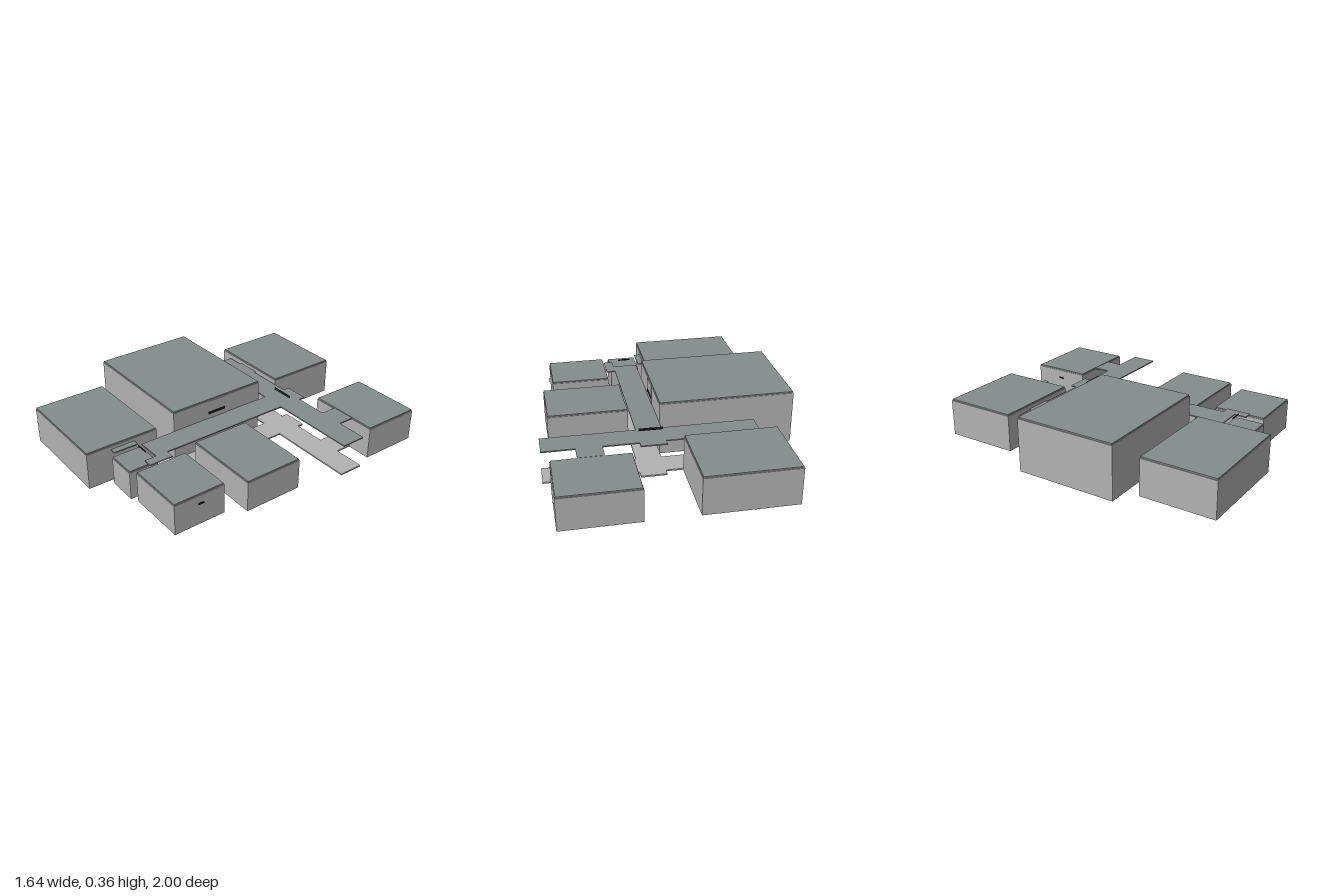
import * as THREE from 'three';

export function createModel() {
  const site = new THREE.Group();
  site.name = 'buildingComplex';

  const mat = (name, color) => {
    const m = new THREE.MeshStandardMaterial({ color });
    m.name = name;
    return m;
  };
  const wall = mat('wallGrey', 0xb2b2b2);
  const roof = mat('roofGreyGreen', 0x848d8b);
  const dark = mat('signBlack', 0x16181c);

  // Box given by its limits on each axis
  function block(name, material, [x0, x1], [y0, y1], [z0, z1], parent = site) {
    const mesh = new THREE.Mesh(new THREE.BoxGeometry(x1 - x0, y1 - y0, z1 - z0), material);
    mesh.position.set((x0 + x1) / 2, (y0 + y1) / 2, (z0 + z1) / 2);
    mesh.name = name;
    parent.add(mesh);
  }

  // Buildings: walls with a slightly inset roof slab
  const buildings = [
    ['mainHall', [-0.82, 0.058], [-0.272, 0.41], 0.36],
    ['backRightBuilding', [-0.64, -0.048], [-1, -0.51], 0.253],
    ['backLeftBuilding', [0.282, 0.772], [-1, -0.606], 0.222],
    ['sideBuilding', [0.222, 0.75], [-0.03, 0.365], 0.21],
    ['frontRightBuilding', [-0.685, 0], [0.503, 1], 0.253],
    ['frontLeftBuilding', [0.282, 0.677], [0.478, 0.827], 0.21],
    ['entranceLodge', [0.04, 0.24], [0.65, 0.85], 0.196],
  ];
  const inset = 0.004, slab = 0.01;
  for (const [name, x, z, h] of buildings) {
    const g = new THREE.Group();
    g.name = name;
    site.add(g);
    block('walls', wall, x, [0, h - slab], z, g);
    block('roof', roof, [x[0] + inset, x[1] - inset], [h - slab, h], [z[0] + inset, z[1] - inset], g);
  }

  // Covered walkways: a path on the ground and a thin canopy above it
  const walkways = [
    ['spine', [0.058, 0.222], [-0.54, 0.65]],
    ['crossRight', [-0.54, 0.058], [-0.497, -0.332]],
    ['crossLeft', [0.222, 0.817], [-0.497, -0.332]],
    ['backLeftLink', [0.447, 0.61], [-0.606, -0.497]],
    ['backRightLink', [-0.43, -0.265], [-0.51, -0.497]],
    ['frontRightLink', [0, 0.04], [0.667, 0.832]],
    ['frontLeftLink', [0.222, 0.282], [0.57, 0.73]],
  ];
  for (const [name, x, z] of walkways) {
    block(name + 'Path', wall, x, [0, 0.01], z);
    block(name + 'Canopy', roof, x, [0.213, 0.221], z);
  }

  // Wall panel and small door
  block('hallPanel', wall, [0.058, 0.061], [0, 0.348], [0, 0.155]);
  block('door', wall, [0.278, 0.282], [0, 0.1], [-0.97, -0.935]);

  // Blank sign plates
  block('spineSign', dark, [0.062, 0.215], [0.254, 0.27], [-0.415, -0.411]);
  block('lodgeSign', dark, [0.095, 0.18], [0.243, 0.252], [0.695, 0.699]);
  block('hallSign', dark, [0.061, 0.064], [0.254, 0.27], [0.015, 0.145]);
  block('frontLeftSign', dark, [0.69, 0.694], [0.15, 0.16], [0.635, 0.672]);
  block('backLeftSign', dark, [0.278, 0.282], [0.15, 0.16], [-0.82, -0.785]);

  return site;
}
